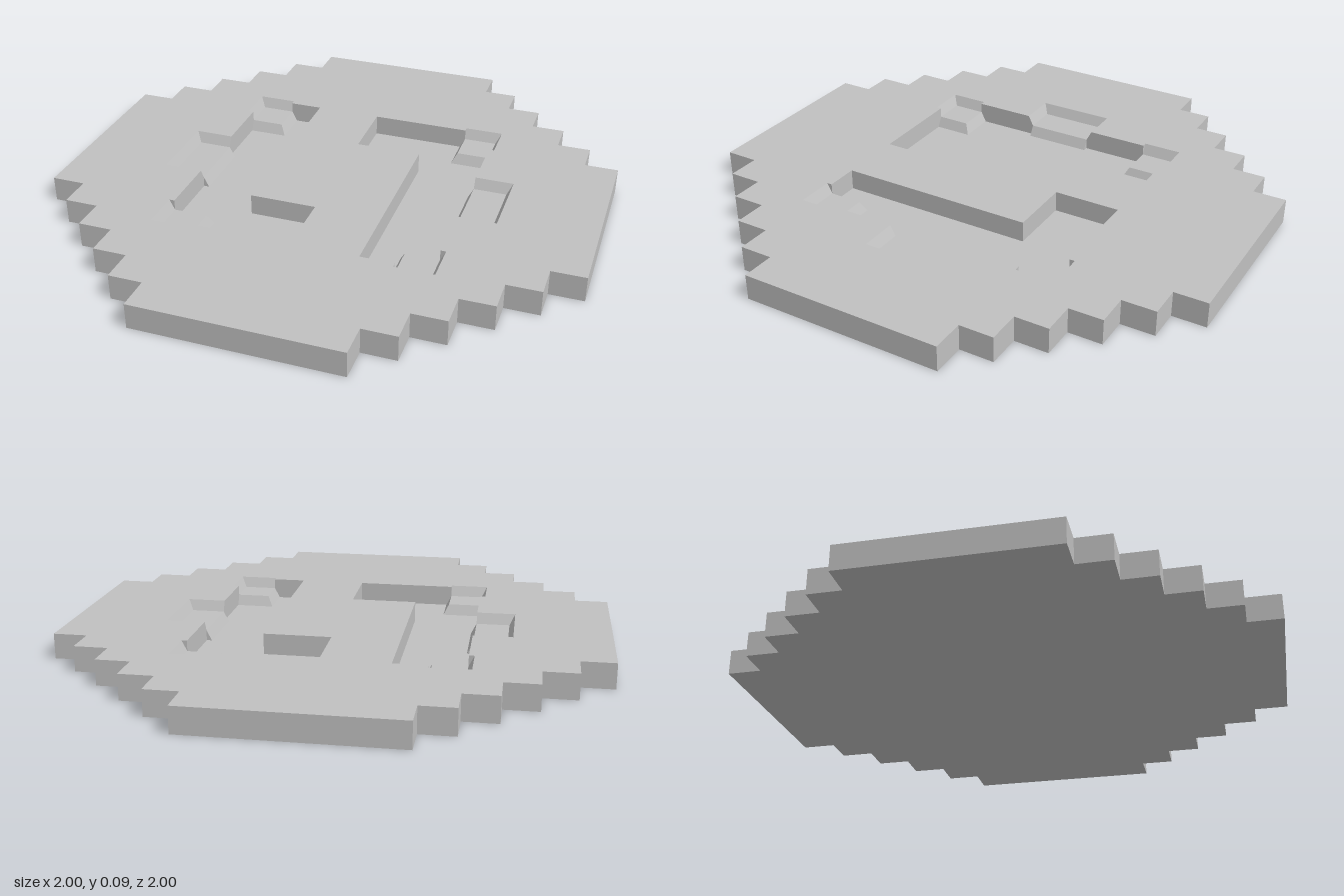
import * as THREE from 'three';

const TOP = 0.094, MID = 0.055, FLOOR = 0.016;
const grey = new THREE.MeshStandardMaterial({ color: 0xc0c0c0 });
grey.name = 'light grey';

// Plan points are [x, z]; shape y is -z so the extrusion can be laid flat.
const toVectors = (pts) => pts.map(([x, z]) => new THREE.Vector2(x, -z));

function slab(outline, holes, y0, y1, name) {
  const shape = new THREE.Shape(toVectors(outline));
  for (const h of holes) shape.holes.push(new THREE.Path(toVectors(h)));
  const g = new THREE.ExtrudeGeometry(shape, { depth: y1 - y0, bevelEnabled: false });
  g.rotateX(-Math.PI / 2);
  g.translate(0, y0, 0);
  const m = new THREE.Mesh(g, grey);
  m.name = name;
  return m;
}

// Block whose bottom and top rectangles [x0, x1, z0, z1] may differ.
function taper(bottom, top, y0, y1, name, sx, sz) {
  const place = ([x0, x1, z0, z1]) => [
    Math.min(sx * x0, sx * x1), Math.max(sx * x0, sx * x1),
    Math.min(sz * z0, sz * z1), Math.max(sz * z0, sz * z1)];
  const b = place(bottom), t = place(top);
  const g = new THREE.BoxGeometry(1, 1, 1).toNonIndexed();
  const p = g.attributes.position;
  for (let i = 0; i < p.count; i++) {
    const r = p.getY(i) > 0 ? t : b;
    p.setXYZ(i, p.getX(i) > 0 ? r[1] : r[0], p.getY(i) > 0 ? y1 : y0, p.getZ(i) > 0 ? r[3] : r[2]);
  }
  g.computeVertexNormals();
  const m = new THREE.Mesh(g, grey);
  m.name = name;
  return m;
}

// Stepped disc outline: one quadrant of stairs, turned four times.
function steppedOutline() {
  const stairs = [];
  for (let i = 0; i < 6; i++) {
    const x = 1 - i * 0.125, z = 0.375 + i * 0.125;
    stairs.push([x, z]);
    if (i < 5) stairs.push([x - 0.125, z]);
  }
  const pts = [];
  for (let q = 0; q < 4; q++) {
    for (const [x, z] of stairs) {
      pts.push([[x, z], [-z, x], [-x, -z], [z, -x]][q]);
    }
  }
  return pts;
}

export function createModel() {
  const model = new THREE.Group();
  model.name = 'steppedDisc';
  const outline = steppedOutline();

  // L-shaped pocket with its side notches, and its half-turn twin
  const pocket = [
    [-0.25, -0.5], [-0.375, -0.5], [-0.375, -0.52], [-0.52, -0.52], [-0.52, -0.375], [-0.5, -0.375],
    [-0.5, -0.145], [-0.645, -0.145], [-0.645, 0.145], [-0.5, 0.145],
    [-0.5, 0.375], [-0.52, 0.375], [-0.52, 0.52], [-0.375, 0.52], [-0.375, 0.5],
    [0, 0.5], [0, 0.25], [-0.25, 0.25]];
  const twin = pocket.map(([x, z]) => [-x, -z]);

  model.add(slab(outline, [], 0, FLOOR, 'pocketFloor'));
  model.add(slab(outline, [pocket, twin], FLOOR, TOP, 'discBody'));

  for (const sx of [-1, 1]) {
    const side = new THREE.Group();
    side.name = sx > 0 ? 'leftSteps' : 'rightSteps';

    // Corner steps with sloped sides, above and below
    for (const sz of [-1, 1]) {
      side.add(
        taper([0.355, 0.52, 0.355, 0.52], [0.375, 0.52, 0.375, 0.52], FLOOR, MID, 'cornerStep', sx, sz),
        taper([0.5, 0.52, 0.375, 0.52], [0.52, 0.52, 0.375, 0.52], MID, TOP, 'cornerSideSlope', sx, sz),
        taper([0.375, 0.52, 0.5, 0.52], [0.375, 0.52, 0.52, 0.52], MID, TOP, 'cornerEndSlope', sx, sz),
        // End slope of the middle step
        taper([0.5, 0.645, 0.125, 0.145], [0.5, 0.645, 0.145, 0.145], MID, TOP, 'middleEndSlope', sx, sz));
    }

    // Middle step and its lip down to the pocket floor
    side.add(
      taper([0.5, 0.645, -0.145, 0.145], [0.5, 0.645, -0.145, 0.145], FLOOR, MID, 'middleStep', sx, 1),
      taper([0.48, 0.5, -0.125, 0.125], [0.5, 0.5, -0.125, 0.125], FLOOR, MID, 'middleLip', sx, 1),
      taper([0.625, 0.645, -0.145, 0.145], [0.645, 0.645, -0.145, 0.145], MID, TOP, 'middleSideSlope', sx, 1));
    model.add(side);
  }
  return model;
}
